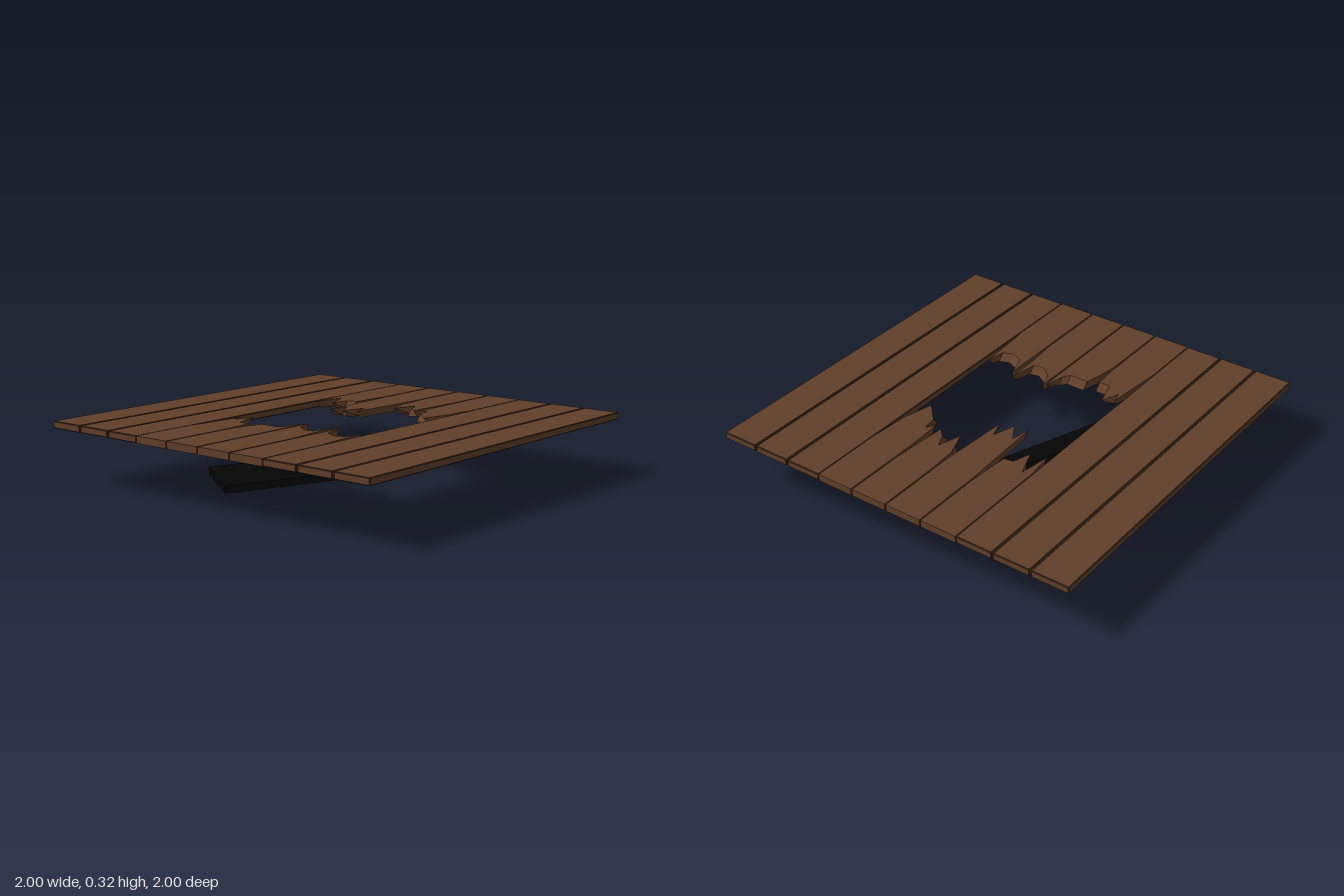
import * as THREE from 'three';
import { ConvexGeometry } from 'three/addons/geometries/ConvexGeometry.js';

const wood = new THREE.MeshStandardMaterial({ color: 0x603f2a });
wood.name = 'brown wood';
const seam = new THREE.MeshStandardMaterial({ color: 0x36241a });
seam.name = 'dark worn edge';
const charred = new THREE.MeshStandardMaterial({ color: 0x050505 });
charred.name = 'charred wood';

const FLOOR = 0.285, THICK = 0.036;

// Chamfered box: flat faces first, chamfers in a second group
function plankGeometry(w, h, d, c) {
  const pts = [];
  for (const sx of [-1, 1]) for (const sy of [-1, 1]) for (const sz of [-1, 1]) {
    for (let k = 0; k < 3; k++) {
      const inset = [c, c, c];
      inset[k] = 0;
      pts.push(new THREE.Vector3(
        sx * (w / 2 - inset[0]), sy * (h / 2 - inset[1]), sz * (d / 2 - inset[2])));
    }
  }
  const hull = new ConvexGeometry(pts);
  const p = hull.attributes.position.array, n = hull.attributes.normal.array;
  const flat = [], edge = [];
  for (let i = 0; i < p.length; i += 9) {
    const axial = Math.max(Math.abs(n[i]), Math.abs(n[i + 1]), Math.abs(n[i + 2])) > 0.99;
    (axial ? flat : edge).push(...p.slice(i, i + 9));
  }
  const geo = new THREE.BufferGeometry();
  geo.setAttribute('position', new THREE.Float32BufferAttribute([...flat, ...edge], 3));
  geo.addGroup(0, flat.length / 3, 0);
  geo.addGroup(flat.length / 3, edge.length / 3, 1);
  geo.computeVertexNormals();
  return geo;
}

// Slab from an outline of [x, z] points, thickness upward from y = 0
function slab(outline, thickness) {
  const shape = new THREE.Shape(outline.map(([x, z]) => new THREE.Vector2(x, -z)));
  const geo = new THREE.ExtrudeGeometry(shape, { depth: thickness, bevelEnabled: false });
  return geo.rotateX(-Math.PI / 2);
}

// Stump of a broken plank: tips are undercut and notches slope down into the hole
function stumpGeometry(edge, endZ) {
  const side = Math.sign(endZ), last = edge.length - 1;
  const geo = slab([[edge[0][0], endZ], ...edge, [edge[last][0], endZ]], THICK);
  const pos = geo.attributes.position;
  for (let i = 0; i < pos.count; i++) {
    const k = edge.findIndex(([x, z]) =>
      Math.abs(x - pos.getX(i)) < 1e-4 && Math.abs(z - pos.getZ(i)) < 1e-4);
    if (k < 1 || k >= last) continue;
    const reach = (j) => -side * edge[j][1];
    const isTip = reach(k) > reach(k - 1) && reach(k) > reach(k + 1);
    const isTop = pos.getY(i) > THICK / 2;
    if (isTip !== isTop) pos.setZ(i, pos.getZ(i) + side * 0.035);
  }
  geo.computeVertexNormals();
  return geo;
}

// Splintered edges of the broken planks, from -x to +x
const backBreaks = [
  [[-0.399, -0.42], [-0.38, -0.26], [-0.355, -0.4], [-0.3, -0.29], [-0.27, -0.35], [-0.22, -0.36], [-0.204, -0.62]],
  [[-0.196, -0.6], [-0.176, -0.13], [-0.155, -0.2], [-0.1, -0.14], [-0.06, -0.23], [-0.03, -0.16], [-0.014, -0.38], [-0.004, -0.55]],
  [[0.004, -0.66], [0.012, -0.46], [0.06, -0.36], [0.1, -0.45], [0.13, -0.38], [0.175, -0.37], [0.196, -0.67]],
  [[0.204, -0.56], [0.212, -0.36], [0.245, -0.38], [0.255, -0.29], [0.345, -0.23], [0.385, -0.36], [0.399, -0.6]],
];
const frontBreaks = [
  [[-0.399, 0.65], [-0.37, 0.33], [-0.355, 0.36], [-0.315, 0.3], [-0.275, 0.4], [-0.215, 0.4], [-0.204, 0.57]],
  [[-0.196, 0.6], [-0.18, 0.45], [-0.16, 0.37], [-0.06, 0.37], [-0.035, 0.34], [-0.01, 0.26], [-0.004, 0.3]],
  [[0.004, 0.25], [0.04, 0.31], [0.1, 0.35], [0.15, 0.34], [0.175, 0.22], [0.182, 0.4], [0.196, 0.57]],
  [[0.204, 0.26], [0.24, 0.34], [0.3, 0.37], [0.355, 0.35], [0.37, 0.28], [0.385, 0.4], [0.399, 0.62]],
];

export function createModel() {
  const model = new THREE.Group();
  model.name = 'brokenFloor';

  // Whole planks on either side of the hole
  const plank = plankGeometry(0.194, THICK, 2, 0.004);
  for (const side of [-1, 1]) for (const x of [0.498, 0.7, 0.902]) {
    const mesh = new THREE.Mesh(plank, [wood, seam]);
    mesh.name = 'wholePlank';
    mesh.position.set(side * x, FLOOR + THICK / 2, 0);
    model.add(mesh);
  }

  // Broken planks, each left with a back and a front stump
  for (const [breaks, endZ, name] of [
    [backBreaks, -1, 'brokenPlankBack'], [frontBreaks, 1, 'brokenPlankFront']]) {
    for (const edge of breaks) {
      const mesh = new THREE.Mesh(stumpGeometry(edge, endZ), wood);
      mesh.name = name;
      mesh.position.y = FLOOR;
      model.add(mesh);
    }
  }

  // Fallen charred board, tilted about its length, with a splintered far end
  const board = slab([
    [-0.22, 0.6], [0.1, -0.25], [0.13, -0.38], [0.157, -0.48], [0.13, -0.47],
    [0.145, -0.57], [0.105, -0.5], [0.05, -0.535], [-0.065, -0.34], [-0.4, 0.53],
  ], 0.037);
  const pos = board.attributes.position;
  for (let i = 0; i < pos.count; i++) {
    const across = 0.928 * pos.getX(i) + 0.371 * pos.getZ(i);
    pos.setY(i, pos.getY(i) + Math.max(0, -0.015 - across) * 0.37);
  }
  board.computeVertexNormals();
  const fallen = new THREE.Mesh(board, charred);
  fallen.name = 'fallenBoard';
  model.add(fallen);

  return model;
}
